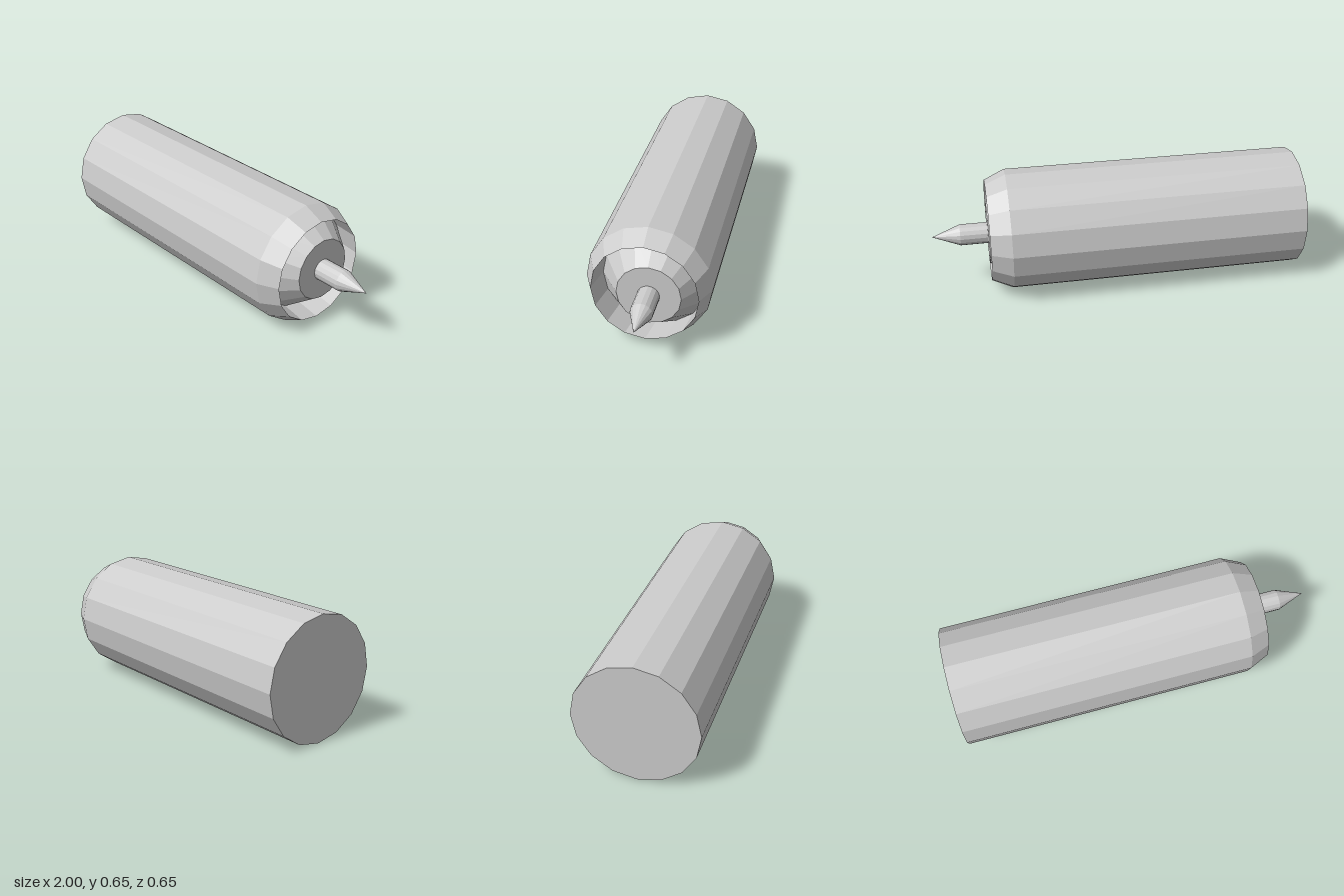
import * as THREE from 'three';

const SIDES = 16;
const CENTRE_Y = 0.325;
const CORE_Z = -0.023; // the core sits slightly off the casing's axis

const material = new THREE.MeshStandardMaterial({ color: 0xcccccc, flatShading: true, side: THREE.DoubleSide });

// Faceted turned part along x from [radius, x, zOffset] rings
function turned(name, rings) {
  const geometry = new THREE.LatheGeometry(rings.map(([r, x]) => new THREE.Vector2(r, x)), SIDES);
  geometry.rotateZ(-Math.PI / 2);
  const pos = geometry.attributes.position;
  for (let i = 0; i < pos.count; i++) {
    pos.setZ(i, pos.getZ(i) + (rings[i % rings.length][2] ?? 0));
  }
  geometry.computeVertexNormals();
  const mesh = new THREE.Mesh(geometry, material);
  mesh.name = name;
  mesh.position.y = CENTRE_Y;
  return mesh;
}

export function createModel() {
  const group = new THREE.Group();
  group.name = 'penTip';

  // Barrel with flat back, bevelled shoulder and a skewed inner wall
  group.add(turned('barrel', [
    [0, -1], [0.325, -1], [0.325, 0.59], [0.275, 0.7], [0.273, 0.55, CORE_Z],
  ]));

  // Recessed cone rising from the bottom of the wall to a flat face
  group.add(turned('innerCone', [
    [0.273, 0.55, CORE_Z], [0.165, 0.703, CORE_Z], [0, 0.703, CORE_Z],
  ]));

  // Thin rod with a pointed end
  group.add(turned('needle', [
    [0.057, 0.7, CORE_Z], [0.057, 0.85, CORE_Z], [0, 1, CORE_Z],
  ]));

  return group;
}
